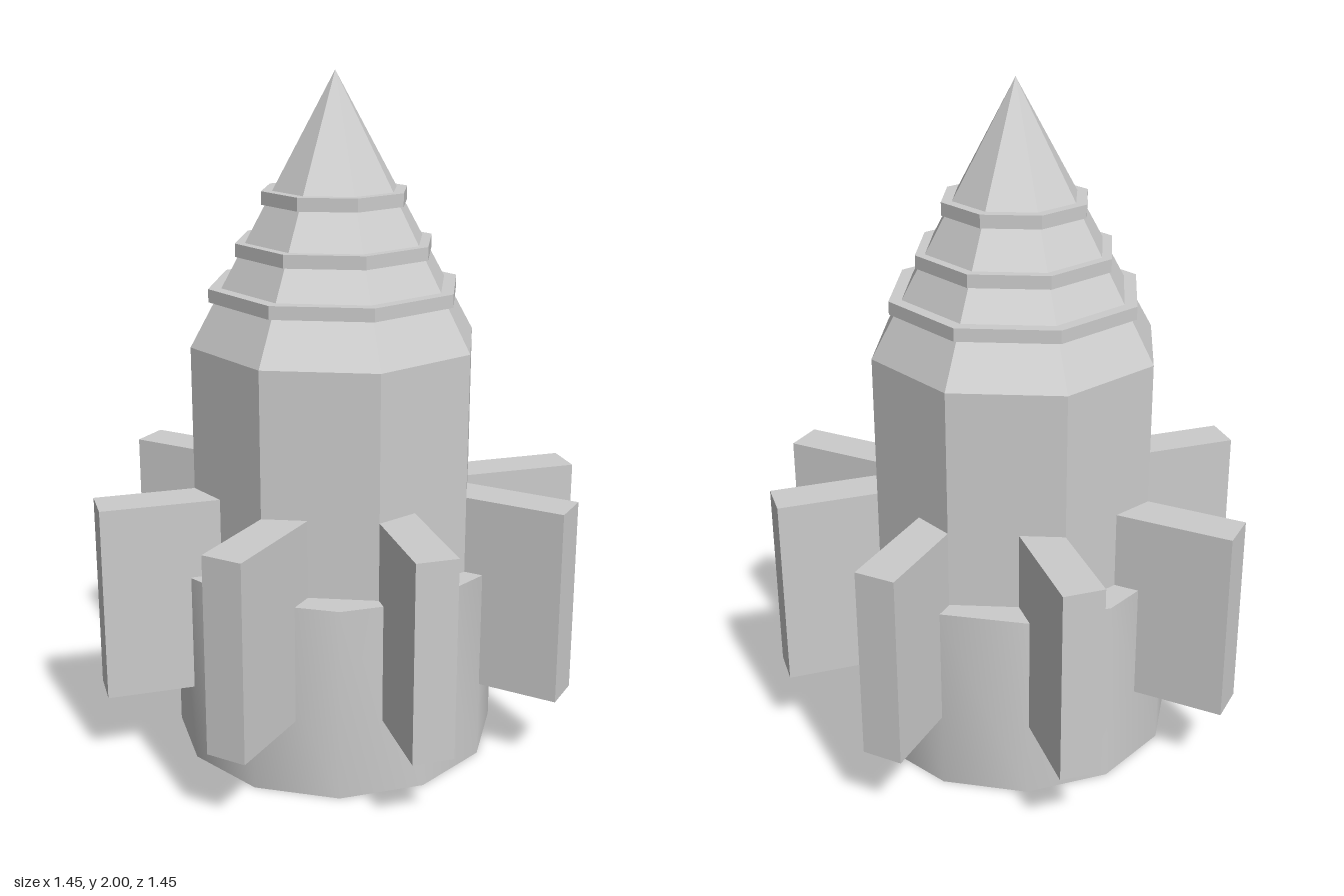
import * as THREE from 'three';
import { toCreasedNormals } from 'three/addons/utils/BufferGeometryUtils.js';

export function createModel() {
  const model = new THREE.Group();
  const material = new THREE.MeshStandardMaterial({ color: 0xcccccc });

  function add(name, geometry, y = 0) {
    const mesh = new THREE.Mesh(toCreasedNormals(geometry, 0.6), material);
    mesh.name = name;
    mesh.position.y = y;
    model.add(mesh);
    return mesh;
  }

  // Regular polygon outline with one corner pointing to the front
  function polygon(radius, sides) {
    return Array.from({ length: sides }, (_, i) => {
      const a = (i / sides) * Math.PI * 2 - Math.PI / 2;
      return new THREE.Vector2(Math.cos(a) * radius, Math.sin(a) * radius);
    });
  }

  // Twelve-sided skirt with an octagonal nozzle opening
  const skirt = new THREE.Shape(polygon(0.487, 12));
  skirt.holes.push(new THREE.Path(polygon(0.32, 8).reverse()));
  const skirtGeometry = new THREE.ExtrudeGeometry(skirt, { depth: 0.58, bevelEnabled: false });
  skirtGeometry.rotateX(-Math.PI / 2);
  add('baseSkirt', skirtGeometry);

  // Octagonal body; its underside closes the nozzle recess
  const bodyBottom = 0.16, bodyTop = 1.235, bodyRadius = 0.43;
  const bodyHeight = bodyTop - bodyBottom;
  add('body', new THREE.CylinderGeometry(bodyRadius, bodyRadius, bodyHeight, 8), bodyBottom + bodyHeight / 2);

  // Nose cone
  const noseHeight = 2 - bodyTop;
  add('noseCone', new THREE.ConeGeometry(bodyRadius, noseHeight, 8), bodyTop + noseHeight / 2);

  // Raised bands around the nose
  for (const [radius, y] of [[0.375, 1.382], [0.295, 1.508], [0.217, 1.652]]) {
    add('noseBand', new THREE.CylinderGeometry(radius, radius, 0.038, 8), y);
  }

  // Four slabs through the body make eight fins, each set to one side of the axis
  for (let i = 0; i < 4; i++) {
    const slab = new THREE.BoxGeometry(1.452, 0.58, 0.12);
    slab.translate(0, 0, -0.06);
    add('finPair', slab, 0.52).rotation.y = -i * Math.PI / 4;
  }

  return model;
}
